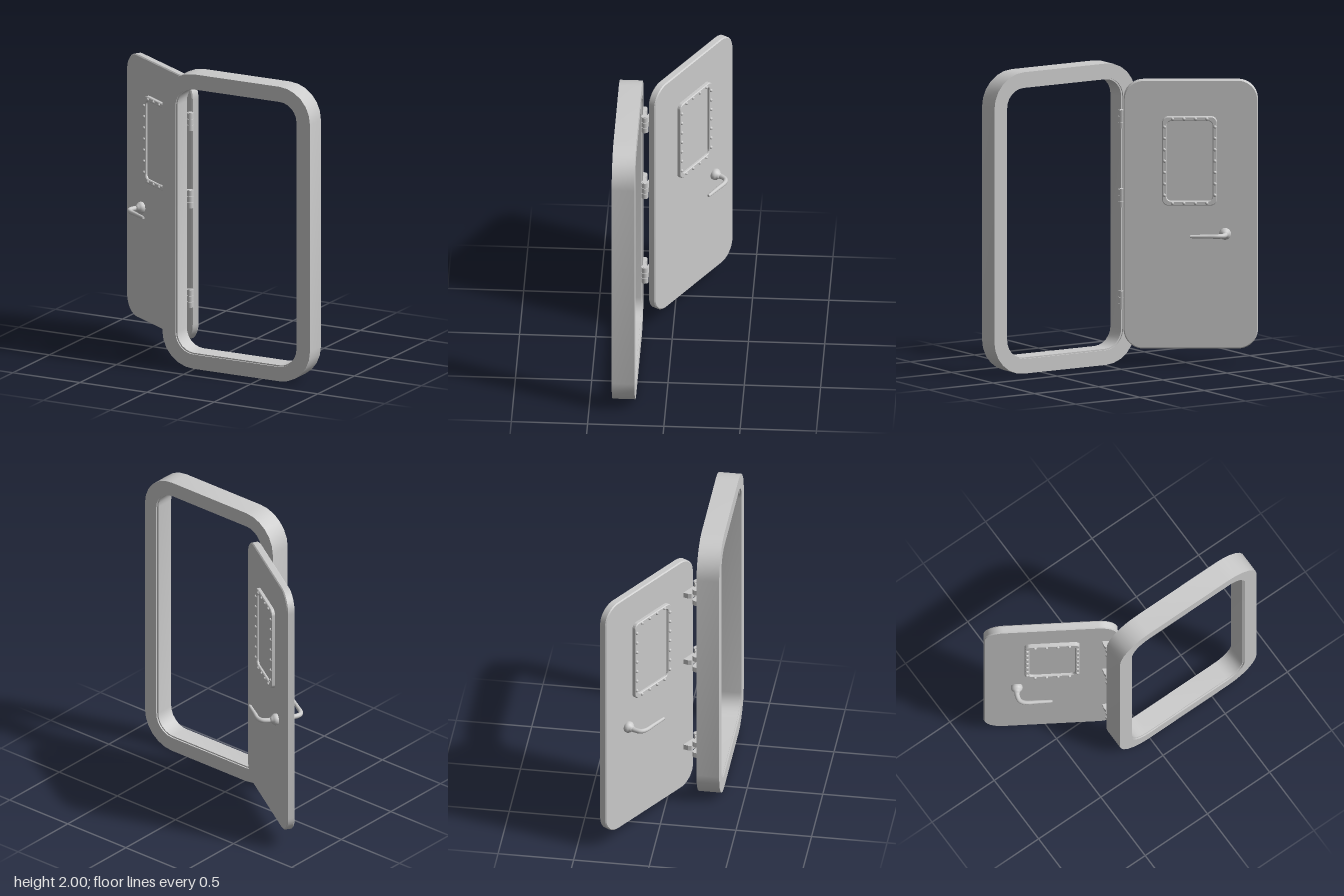
import * as THREE from 'three';
import { toCreasedNormals } from 'three/addons/utils/BufferGeometryUtils.js';

const material = new THREE.MeshStandardMaterial({ color: 0xcccccc });

function add(parent, name, geometry, x = 0, y = 0, z = 0) {
  const mesh = new THREE.Mesh(geometry, material);
  mesh.name = name;
  mesh.position.set(x, y, z);
  parent.add(mesh);
  return mesh;
}

// Rounded rectangle centred on the origin
function roundedRect(w, h, r, Type = THREE.Shape) {
  const s = new Type();
  const x = w / 2 - r, y = h / 2 - r;
  s.absarc(x, y, r, 0, Math.PI / 2);
  s.absarc(-x, y, r, Math.PI / 2, Math.PI);
  s.absarc(-x, -y, r, Math.PI, Math.PI * 1.5);
  s.absarc(x, -y, r, Math.PI * 1.5, Math.PI * 2);
  s.closePath();
  return s;
}

function ring(w, h, r, band, innerR) {
  const s = roundedRect(w, h, r);
  s.holes.push(roundedRect(w - 2 * band, h - 2 * band, innerR, THREE.Path));
  return s;
}

// Extrusion centred in depth, with an optional chamfer kept inside the outline
function slab(shape, depth, bevel = 0, curveSegments = 3) {
  const g = new THREE.ExtrudeGeometry(shape, {
    depth: depth - 2 * bevel, curveSegments, bevelEnabled: bevel > 0,
    bevelSize: bevel, bevelThickness: bevel, bevelOffset: -bevel, bevelSegments: 1,
  });
  g.translate(0, 0, -depth / 2 + bevel);
  return toCreasedNormals(g, 0.6);
}

// Bent lever whose radius shrinks towards the tip
function leverGeometry() {
  const path = new THREE.CatmullRomCurve3([
    [0, 0.04], [0, 0.095], [0.013, 0.13], [0.045, 0.146], [0.12, 0.147], [0.228, 0.147],
  ].map(([x, z]) => new THREE.Vector3(x, 0, z)));
  const rings = 28, sides = 12;
  const g = new THREE.TubeGeometry(path, rings, 0.018, sides);
  const p = g.attributes.position, v = new THREE.Vector3();
  for (let i = 0; i <= rings; i++) {
    const c = path.getPointAt(i / rings);
    const k = i === rings ? 0.5 : 1 - 0.4 * i / rings;
    for (let j = 0; j <= sides; j++) {
      const n = i * (sides + 1) + j;
      v.fromBufferAttribute(p, n).sub(c).multiplyScalar(k).add(c);
      p.setXYZ(n, v.x, v.y, v.z);
    }
  }
  return g;
}

function addHandle(parent, x) {
  const handle = new THREE.Group();
  handle.name = 'handle';
  handle.position.x = x;
  parent.add(handle);
  // Domed boss narrowing to a neck
  const profile = [[0.034, 0.02], [0.039, 0.034], [0.039, 0.046], [0.033, 0.058],
    [0.022, 0.067], [0.018, 0.08], [0, 0.08]].map(([r, y]) => new THREE.Vector2(r, y));
  add(handle, 'handleBoss', new THREE.LatheGeometry(profile, 20)).rotation.x = Math.PI / 2;
  add(handle, 'handleLever', leverGeometry());
  add(handle, 'handleTip', new THREE.CylinderGeometry(0.009, 0.009, 0.006, 12), 0.226, 0, 0.147)
    .rotation.z = Math.PI / 2;
}

function addWindow(parent, x) {
  const win = new THREE.Group();
  win.name = 'window';
  win.position.x = x;
  parent.add(win);
  const w = 0.36, h = 0.59;
  add(win, 'windowFrame', slab(ring(w, h, 0.04, 0.03, 0.03), 0.03, 0.005, 4), 0, 0, 0.037);
  add(win, 'windowPane', slab(roundedRect(w - 0.05, h - 0.05, 0.03), 0.02), 0, 0, 0.026);
  // Rivets around the window frame
  const rivet = new THREE.SphereGeometry(0.011, 10, 8);
  for (const s of [-1, 1]) {
    for (let i = -3; i <= 3; i++) add(win, 'rivet', rivet, s * (w / 2 - 0.015), i * 0.0755, 0.052);
    for (let i = -1.5; i <= 1.5; i++) add(win, 'rivet', rivet, i * 0.075, s * (h / 2 - 0.015), 0.052);
  }
}

// Horizontal plate from an outline in x and z
function hingeArm(points, height) {
  const shape = new THREE.Shape(points.map(([x, z]) => new THREE.Vector2(x, -z)));
  const g = new THREE.ExtrudeGeometry(shape, { depth: height, bevelEnabled: false });
  g.translate(0, 0, -height / 2);
  g.rotateX(-Math.PI / 2);
  return g;
}

function addHinge(parent, y) {
  const hinge = new THREE.Group();
  hinge.name = 'hinge';
  hinge.position.y = y;
  parent.add(hinge);
  const px = -0.122, pz = 0.185;
  const frameArm = hingeArm([[-0.238, 0.203], [-0.235, 0.183], [-0.222, 0.172],
    [-0.2, 0.172], [-0.18, 0.185], [px, 0.17], [px, 0.203]], 0.036);
  const doorArm = hingeArm([[-0.215, 0.165], [-0.218, 0.14], [-0.208, 0.105],
    [-0.12, 0.158], [px, 0.2], [-0.17, 0.188]], 0.036);
  const knuckle = new THREE.CylinderGeometry(0.023, 0.023, 0.037, 16);
  for (const i of [-1, 0, 1]) {
    add(hinge, 'hingeKnuckle', knuckle, px, i * 0.041, pz);
    add(hinge, i ? 'frameHingeArm' : 'doorHingeArm', i ? frameArm : doorArm, 0, i * 0.041, 0);
  }
  add(hinge, 'hingePin', new THREE.CylinderGeometry(0.017, 0.017, 0.124, 16), px, 0, pz);
}

export function createModel() {
  const model = new THREE.Group();
  model.name = 'hingedDoor';

  // Fixed frame with a thin inner lip
  add(model, 'doorFrame', slab(ring(1.1, 2, 0.23, 0.097, 0.135), 0.15), 0.31, 1, 0.275);
  add(model, 'frameLip', slab(ring(0.908, 1.808, 0.135, 0.01, 0.125), 0.13), 0.31, 1, 0.275);

  // Door leaf, swung open
  const door = new THREE.Group();
  door.name = 'door';
  door.position.set(-0.479, 0, -0.095);
  door.rotation.y = -0.565;
  model.add(door);
  add(door, 'doorPanel', slab(roundedRect(0.88, 1.784, 0.13), 0.054, 0.007, 5), 0, 1.003, 0);

  // Window and handle on both faces
  for (const turn of [0, Math.PI]) {
    const upper = new THREE.Group(), lower = new THREE.Group();
    upper.name = 'windowSide';
    lower.name = 'handleSide';
    upper.position.y = 1.36;
    lower.position.y = 0.875;
    upper.rotation.x = lower.rotation.x = turn;
    door.add(upper, lower);
    addWindow(upper, 0.008);
    addHandle(lower, -0.224);
  }

  for (const y of [0.425, 1.1, 1.625]) addHinge(model, y);
  return model;
}
